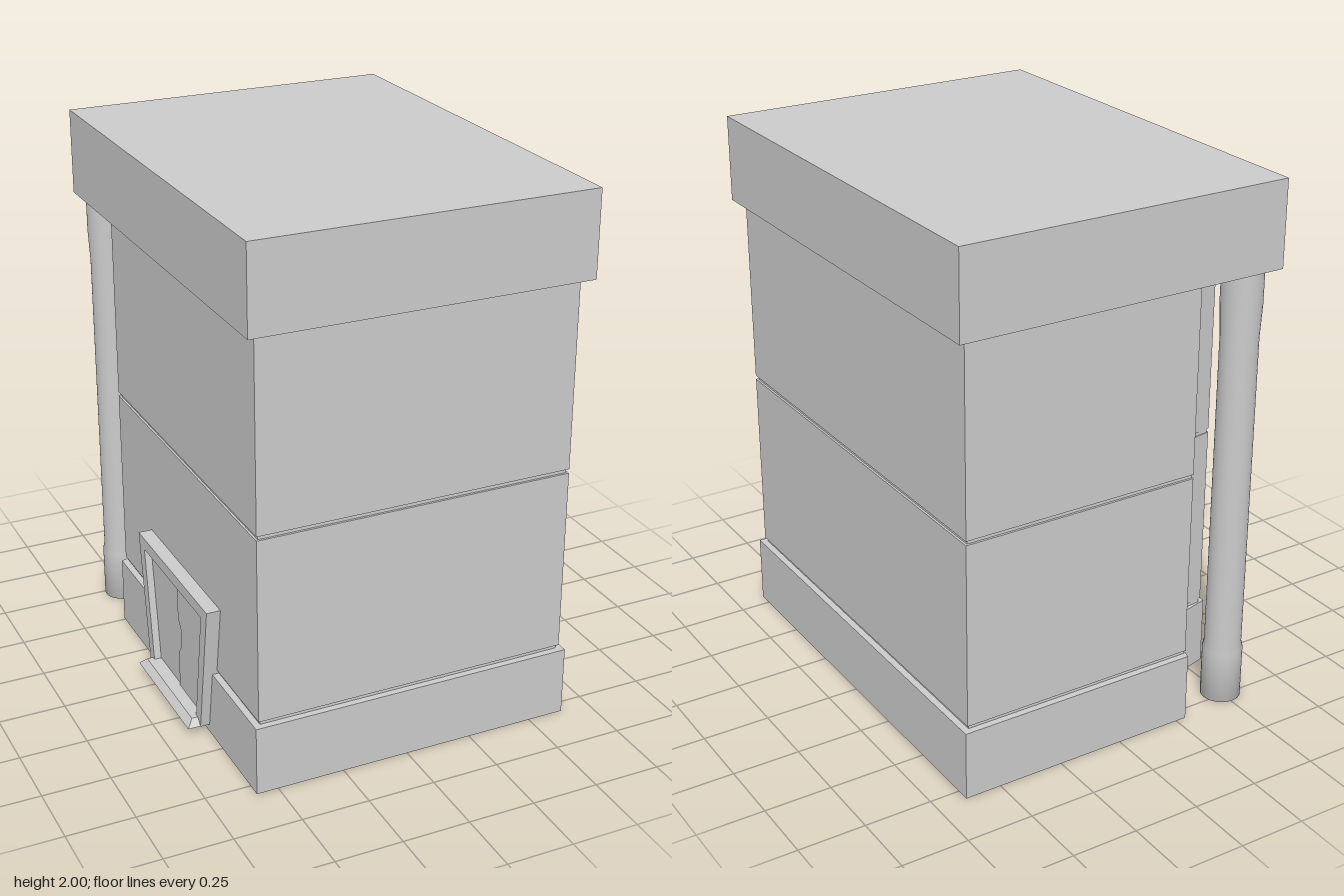
import * as THREE from 'three';

const material = new THREE.MeshStandardMaterial({ color: 0xcccccc, flatShading: true, side: THREE.DoubleSide });
const smooth = new THREE.MeshStandardMaterial({ color: 0xcccccc });

function add(group, name, geometry, mat = material) {
  const mesh = new THREE.Mesh(geometry, mat);
  mesh.name = name;
  group.add(mesh);
  return mesh;
}

// Rectangular footprint with a concave, three-sided notch at the back corner (-x, -z)
function footprint(inset) {
  const x0 = -0.58 + inset, x1 = 0.637 - inset, z0 = -0.8 + inset, z1 = 0.803 - inset;
  const r = 0.29;
  const pts = [[x0 + r - inset, z0], [x1, z0], [x1, z1], [x0, z1], [x0, z0 + r - inset]];
  for (const deg of [60, 30]) {
    const a = THREE.MathUtils.degToRad(deg);
    pts.push([-0.58 + (r + inset) * Math.cos(a), -0.8 + (r + inset) * Math.sin(a)]);
  }
  return pts;
}

// Lofts the footprint through a list of [height, inset] rings
function loftWalls(rings) {
  const pos = [];
  const loops = rings.map(([y, inset]) => footprint(inset).map(([x, z]) => [x, y, z]));
  for (let k = 0; k < loops.length - 1; k++) {
    const lo = loops[k], hi = loops[k + 1];
    lo.forEach((a, i) => {
      const j = (i + 1) % lo.length;
      pos.push(...a, ...hi[i], ...lo[j], ...lo[j], ...hi[i], ...hi[j]);
    });
  }
  const g = new THREE.BufferGeometry();
  g.setAttribute('position', new THREE.Float32BufferAttribute(pos, 3));
  g.computeVertexNormals();
  return g;
}

// Extrudes a [z, y] outline towards -x, from xInner to xOuter
function sidePanel(points, xInner, xOuter, hole) {
  const toVec = ([u, v]) => new THREE.Vector2(u, v);
  const shape = new THREE.Shape(points.map(toVec));
  if (hole) shape.holes.push(new THREE.Path(hole.map(toVec)));
  const g = new THREE.ExtrudeGeometry(shape, { depth: xInner - xOuter, bevelEnabled: false });
  return g.rotateY(-Math.PI / 2).translate(xInner, 0, 0);
}

export function createModel() {
  const model = new THREE.Group();
  model.name = 'building';

  // Hollow walls: plinth and two storeys separated by shallow grooves
  const plinth = 0, wall = 0.017, groove = 0.025;
  add(model, 'walls', loftWalls([
    [0, plinth], [0.26, plinth], [0.26, groove], [0.275, groove],
    [0.275, wall], [0.965, wall], [0.965, groove], [0.98, groove],
    [0.98, wall], [1.67, wall], [1.67, groove], [1.685, groove],
  ]));

  // Overhanging flat roof
  const roof = add(model, 'roof', new THREE.BoxGeometry(1.257, 0.317, 1.642));
  roof.position.set(0.03, 1.8415, 0);

  // Round column standing in the corner notch, slightly wider at foot and head
  const profile = [[0, 0], [0.074, 0], [0.074, 0.2], [0.068, 0.225], [0.068, 1.43], [0.074, 1.55], [0.074, 1.685]];
  const column = add(model, 'cornerColumn',
    new THREE.LatheGeometry(profile.map(([r, y]) => new THREE.Vector2(r, y)), 32), smooth);
  column.position.set(-0.505, 0, -0.727);

  // Entrance on the -x side
  const entrance = new THREE.Group();
  entrance.name = 'entrance';
  model.add(entrance);

  // Tapered frame, open at the bottom
  add(entrance, 'doorFrame', sidePanel([
    [-0.12, 0.03], [-0.2, 0.54], [0.465, 0.54], [0.38, 0.03],
    [0.335, 0.03], [0.408, 0.495], [-0.145, 0.495], [-0.075, 0.03],
  ], -0.55, -0.615));

  // Two door leaves meeting along a stepped seam
  const seam = [[0.13, 0.03], [0.13, 0.2], [0.155, 0.23], [0.155, 0.31], [0.13, 0.34], [0.13, 0.495]];
  add(entrance, 'rearDoorLeaf', sidePanel([[-0.075, 0.03], ...seam, [-0.145, 0.495]], -0.55, -0.588));
  add(entrance, 'frontDoorLeaf', sidePanel([[0.335, 0.03], [0.408, 0.495], ...[...seam].reverse()], -0.55, -0.594));

  // Doorstep with sloping outer and end faces
  const step = new THREE.BoxGeometry(0.08, 0.025, 0.5);
  const p = step.attributes.position;
  for (let i = 0; i < p.count; i++) {
    if (p.getY(i) > 0) {
      p.setZ(i, p.getZ(i) * 0.9);
      if (p.getX(i) < 0) p.setX(i, p.getX(i) + 0.024);
    }
  }
  step.computeVertexNormals();
  add(entrance, 'doorstep', step).position.set(-0.622, 0.044, 0.13);

  return model;
}
